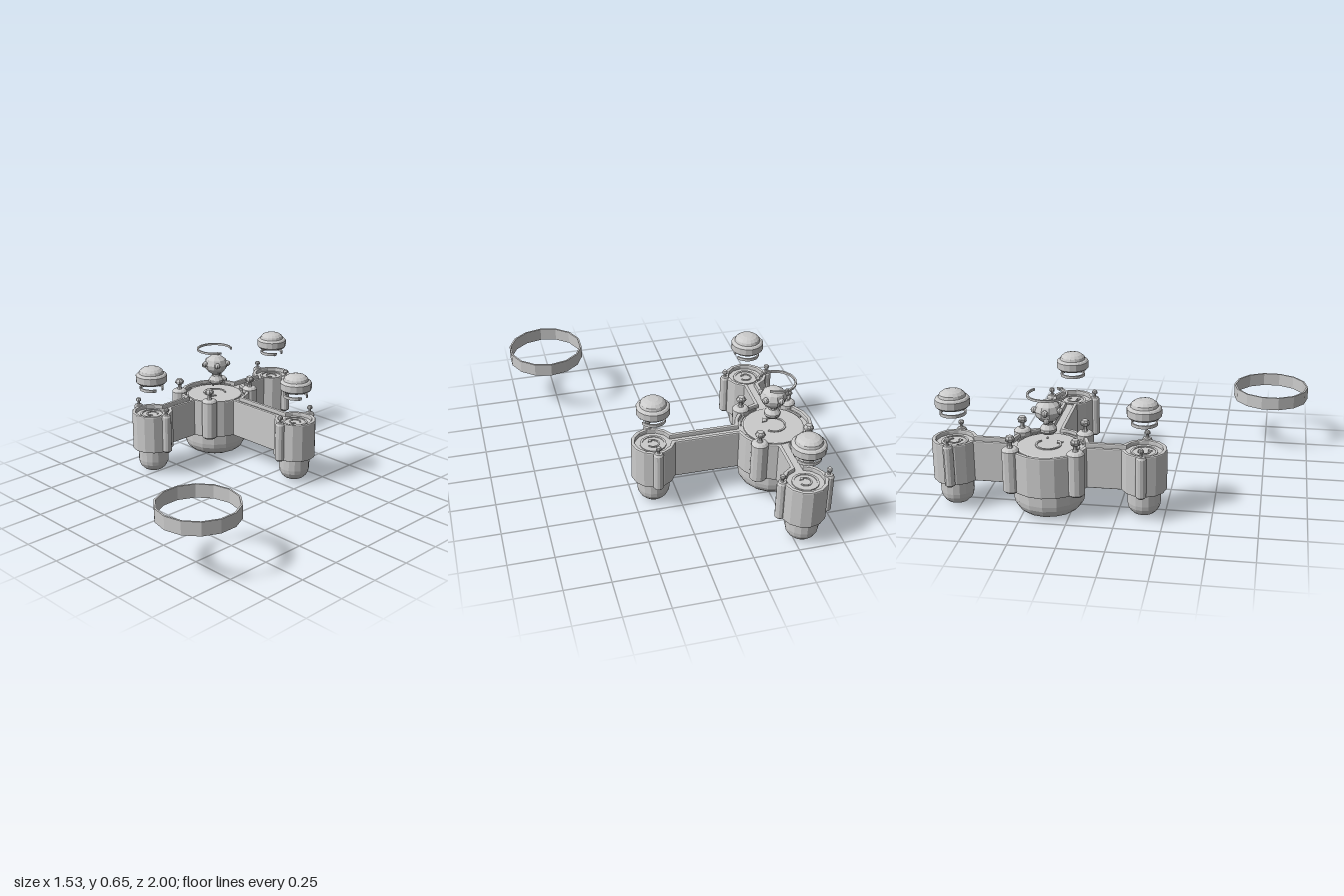
import * as THREE from 'three';

const mat = new THREE.MeshStandardMaterial({ color: 0xcccccc, flatShading: true, side: THREE.DoubleSide });
const HUB = [-0.548, -0.373];
// arms: angle seen from above and distance from the hub to the pod
const ARMS = [[0, 0.683], [Math.PI / 2, 0.51], [-Math.PI / 2, 0.51]];

function add(parent, name, geo, x = 0, y = 0, z = 0) {
  const m = new THREE.Mesh(geo, mat);
  m.name = name;
  m.position.set(x, y, z);
  parent.add(m);
  return m;
}

const lathe = (pts, n = 14) => new THREE.LatheGeometry(pts.map(p => new THREE.Vector2(p[0], p[1])), n);

function extrudeUp(shape, depth, bevel = 0) {
  const g = new THREE.ExtrudeGeometry(shape, {
    depth: depth - 2 * bevel, bevelEnabled: bevel > 0, bevelSize: bevel, bevelThickness: bevel,
    bevelOffset: -bevel, bevelSegments: 2, curveSegments: 12
  });
  g.translate(0, 0, bevel);
  return g.rotateX(-Math.PI / 2);
}

// Plan of the body: hub, three arms and three pods, shrunk by an inset
function outline(inset) {
  const R = 0.217 - inset, r = 0.122 - inset, w = 0.044 - inset;
  const a = Math.asin(w / R), b = Math.asin(w / r), pts = [];
  const order = [ARMS[2], ARMS[0], ARMS[1]];
  order.forEach(([ang, dist], k) => {
    const cx = Math.cos(ang) * dist, cy = Math.sin(ang) * dist;
    for (let i = 0; i <= 12; i++) {
      const t = ang + (Math.PI - b) * (i / 6 - 1);
      pts.push(new THREE.Vector2(cx + r * Math.cos(t), cy + r * Math.sin(t)));
    }
    const span = k === 2 ? Math.PI : Math.PI / 2, n = k === 2 ? 8 : 4;
    for (let i = 0; i <= n; i++) {
      const t = ang + a + (span - 2 * a) * i / n;
      pts.push(new THREE.Vector2(R * Math.cos(t), R * Math.sin(t)));
    }
  });
  return pts;
}

// Flat curved strip, optionally with an arrowhead at its end
function arcStrip(r, width, height, from, to, head = 0) {
  const s = new THREE.Shape(), n = 18, ri = r - width;
  for (let i = 0; i <= n; i++) {
    const t = from + (to - from) * i / n;
    if (i) s.lineTo(r * Math.cos(t), r * Math.sin(t));
    else s.moveTo(r * Math.cos(t), r * Math.sin(t));
  }
  if (head) {
    const rm = r - width / 2, tip = to + 2 * head / r;
    s.lineTo((rm + head) * Math.cos(to), (rm + head) * Math.sin(to));
    s.lineTo(rm * Math.cos(tip), rm * Math.sin(tip));
    s.lineTo((rm - head) * Math.cos(to), (rm - head) * Math.sin(to));
  }
  for (let i = n; i >= 0; i--) {
    const t = from + (to - from) * i / n;
    s.lineTo(ri * Math.cos(t), ri * Math.sin(t));
  }
  return extrudeUp(s, height);
}

// Rounded foot below the body
function foot(parent, name, r, round, x, z) {
  const pts = [[0, 0.004], [r - round, 0.004]];
  for (let i = 1; i <= 5; i++) {
    const t = i / 5 * Math.PI / 2;
    pts.push([r - round + round * Math.sin(t), 0.004 + round * (1 - Math.cos(t))]);
  }
  pts.push([r, 0.16]);
  add(parent, name, lathe(pts, 16), x, 0, z);
}

// Column on the wall of the body, topped by a small knob
function post(parent, name, r, big, x, z) {
  const g = new THREE.Group();
  g.name = name;
  g.position.set(x, 0, z);
  add(g, 'column', lathe([[0, 0.15], [r - 0.01, 0.15], [r, 0.16], [r, big ? 0.385 : 0.373],
    [r * 0.75, big ? 0.397 : 0.385], [r * 0.55, big ? 0.4 : 0.387], [0, big ? 0.4 : 0.387]], 12));
  const k = big ? 1.6 : 1, y = big ? 0.398 : 0.385;
  add(g, 'knob', lathe([[0.011, 0], [0.007, 0.008], [0.007, 0.019], [0.015, 0.023],
    [0.016, 0.033], [0.011, 0.041], [0, 0.042]].map(p => [p[0] * k, p[1] * k]), 8), 0, y);
  if (big) for (let i = 0; i < 4; i++) {
    const t = i * Math.PI / 2 + 0.4;
    add(g, 'knobLobe', new THREE.SphereGeometry(0.008, 6, 4), 0.022 * Math.cos(t), y + 0.047, 0.022 * Math.sin(t));
  }
  parent.add(g);
}

function pod(ang, dist) {
  const g = new THREE.Group();
  g.name = 'pod';
  g.position.set(Math.cos(ang) * dist, 0, -Math.sin(ang) * dist);
  foot(g, 'podFoot', 0.09, 0.075, 0, 0);
  // posts on both sides, across the arm
  for (const s of [-1, 1]) {
    post(g, 'podPost', 0.028, false, -Math.sin(ang) * 0.127 * s, -Math.cos(ang) * 0.127 * s);
  }
  // seat on the pod floor
  add(g, 'podSeat', lathe([[0.072, 0.35], [0.072, 0.362], [0.06, 0.362], [0.06, 0.358], [0, 0.358]], 16));
  add(g, 'seatArrow', arcStrip(0.035, 0.008, 0.006, 0.5, 5, 0.012), 0, 0.357);
  // floating turn arrow and hollow cap
  add(g, 'turnArrow', arcStrip(0.071, 0.008, 0.017, 0.4, 5.7, 0.011), 0, 0.514);
  add(g, 'cap', lathe([[0, 0.6], [0.065, 0.6], [0.07, 0.555], [0.081, 0.554], [0.092, 0.565], [0.092, 0.603],
    [0.083, 0.612], [0.073, 0.615], [0.068, 0.63], [0.052, 0.643], [0.028, 0.65], [0, 0.651]], 16));
  add(g, 'capInnerRing', lathe([[0.032, 0.6], [0.032, 0.57], [0.042, 0.57], [0.042, 0.6]], 12));
  return g;
}

export function createModel() {
  const model = new THREE.Group();
  model.name = 'model';
  const base = new THREE.Group();
  base.name = 'base';
  base.position.set(HUB[0], 0, HUB[1]);
  model.add(base);

  // body wall with a sunken floor
  const wall = new THREE.Shape(outline(0));
  wall.holes.push(new THREE.Path(outline(0.022)));
  add(base, 'bodyWall', extrudeUp(wall, 0.23, 0.007), 0, 0.15);
  add(base, 'bodyFloor', extrudeUp(new THREE.Shape(outline(0.02)), 0.206), 0, 0.15);

  // hub underside, floor rings and corner posts
  foot(base, 'hubFoot', 0.192, 0.085, 0, 0);
  add(base, 'hubDisc', lathe([[0.168, 0.35], [0.168, 0.363], [0.16, 0.366], [0, 0.366]], 24));
  for (const t of [0.25, 1.82, 3.39, 4.96]) {
    add(base, 'hubTrim', arcStrip(0.185, 0.008, 0.012, t, t + 1.07), 0, 0.354);
  }
  add(base, 'floorArrow', arcStrip(0.07, 0.01, 0.007, 0.8, 5.2, 0.018), 0, 0.365);
  for (const sx of [-1, 1]) for (const sz of [-1, 1]) {
    post(base, 'hubPost', 0.047, true, 0.136 * sx, 0.172 * sz);
  }
  for (const [ang, dist] of ARMS) base.add(pod(ang, dist));

  // floating hub knob with side studs
  const knob = new THREE.Group();
  knob.name = 'hubKnob';
  knob.position.set(0.012, 0, 0);
  base.add(knob);
  add(knob, 'stem', lathe([[0, 0.43], [0.034, 0.43], [0.046, 0.445], [0.046, 0.458], [0.026, 0.483],
    [0.026, 0.495], [0.05, 0.512], [0.055, 0.53]], 10));
  add(knob, 'ball', lathe([[0, 0.495], [0.045, 0.508], [0.068, 0.535], [0.073, 0.56], [0.06, 0.59], [0.032, 0.61], [0, 0.614]], 10));
  for (let i = 0; i < 5; i++) {
    const t = Math.PI + i * Math.PI * 0.4;
    add(knob, 'stud', new THREE.SphereGeometry(0.018, 8, 6), 0.072 * Math.cos(t), 0.565, 0.072 * Math.sin(t));
  }
  add(knob, 'sideStud', new THREE.SphereGeometry(0.016, 8, 6), -0.092, 0.53, 0.012);
  add(base, 'pin', new THREE.SphereGeometry(0.007, 6, 4), -0.014, 0.412, 0);
  add(base, 'turnArrow', arcStrip(0.108, 0.01, 0.012, 0.9, 5.7, 0.014), 0, 0.645);

  // loose band lying apart from the base
  add(model, 'band', lathe([[0.212, 0.285], [0.222, 0.285], [0.222, 0.36], [0.212, 0.36], [0.212, 0.285]], 14), 0.545, 0, 0.77);
  return model;
}
